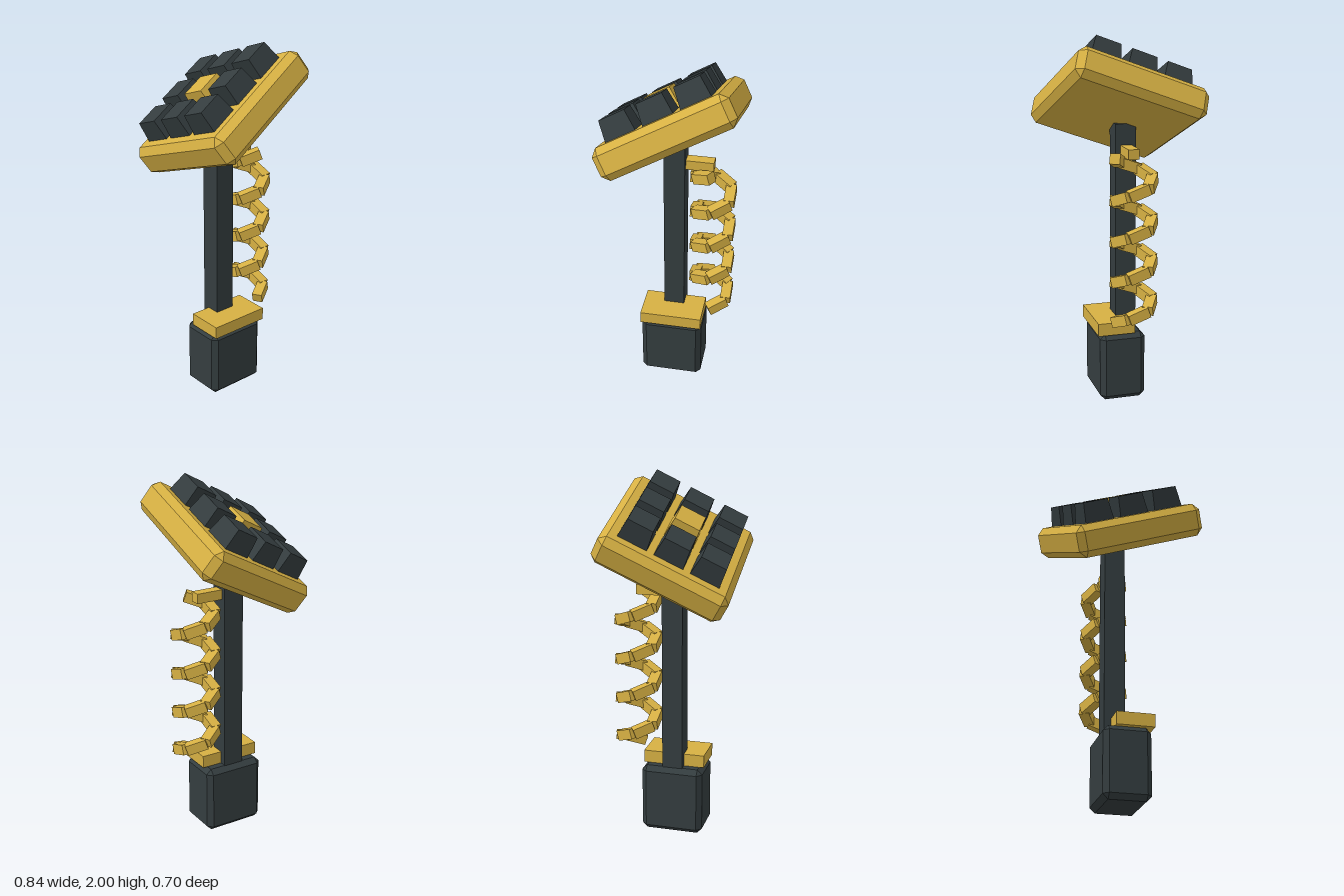
import * as THREE from 'three';
import { ConvexGeometry } from 'three/addons/geometries/ConvexGeometry.js';

const gold = new THREE.MeshStandardMaterial({ color: 0xd6b043 });
gold.name = 'gold';
const charcoal = new THREE.MeshStandardMaterial({ color: 0x343d3f });
charcoal.name = 'charcoal';

// Box with all edges cut at 45 degrees
function chamferBox(w, h, d, c) {
  const pts = [];
  for (const sx of [-1, 1]) for (const sy of [-1, 1]) for (const sz of [-1, 1]) {
    const x = w / 2, y = h / 2, z = d / 2;
    pts.push(
      new THREE.Vector3(sx * x, sy * (y - c), sz * (z - c)),
      new THREE.Vector3(sx * (x - c), sy * y, sz * (z - c)),
      new THREE.Vector3(sx * (x - c), sy * (y - c), sz * z));
  }
  return new ConvexGeometry(pts);
}

// Square block that narrows towards the top
function taperedBlock(bottom, top, height) {
  const g = new THREE.CylinderGeometry(top / Math.SQRT2, bottom / Math.SQRT2, height, 4)
    .rotateY(Math.PI / 4).toNonIndexed();
  g.computeVertexNormals();
  return g;
}

function add(parent, name, geometry, material, x, y, z) {
  const mesh = new THREE.Mesh(geometry, material);
  mesh.name = name;
  mesh.position.set(x, y, z);
  parent.add(mesh);
  return mesh;
}

export function createModel() {
  const model = new THREE.Group();
  model.name = 'keypadHammer';

  // Grip, collar and shaft
  add(model, 'grip', chamferBox(0.254, 0.384, 0.346, 0.028), charcoal, 0.013, 0.192, 0);
  add(model, 'collar', new THREE.BoxGeometry(0.205, 0.07, 0.346), gold, 0.053, 0.42, 0);
  add(model, 'shaft', new THREE.BoxGeometry(0.114, 1.166, 0.114), charcoal, -0.031, 0.943, 0.001);

  // Coiled cord: six straight blocks per turn, four turns
  const cord = new THREE.Group();
  cord.name = 'coiledCord';
  model.add(cord);
  const turns = 4, sides = 6, radius = 0.104;
  const at = (i) => {
    const a = (i / sides) * Math.PI * 2;
    return new THREE.Vector3(
      -0.032 + radius * Math.cos(a),
      0.475 + (i / (sides * turns)) * 0.892,
      -0.204 - radius * Math.sin(a));
  };
  const link = new THREE.BoxGeometry(0.057, 0.057, 0.114);
  for (let i = 0; i < turns * sides; i++) {
    const p = at(i), q = at(i + 1);
    const mid = p.clone().add(q).multiplyScalar(0.5);
    add(cord, 'cordLink', link, gold, mid.x, mid.y, mid.z).lookAt(q);
  }
  add(model, 'cordBracket', new THREE.BoxGeometry(0.06, 0.054, 0.15), gold, -0.032, 1.384, -0.131);

  // Tilted head with a three by three block of keys
  const head = new THREE.Group();
  head.name = 'head';
  head.position.set(0, 1.615, -0.002);
  head.rotation.set(0.5, 0, 0.35, 'ZYX');
  model.add(head);
  add(head, 'headPlate', chamferBox(0.74, 0.178, 0.74, 0.037), gold, 0, 0, 0);
  const key = taperedBlock(0.168, 0.142, 0.12);
  for (let r = -1; r <= 1; r++) for (let c = -1; c <= 1; c++) {
    const centre = r === 0 && c === 0;
    add(head, centre ? 'centreKey' : 'key', key, centre ? gold : charcoal, c * 0.206, 0.141, r * 0.206);
  }

  return model;
}
